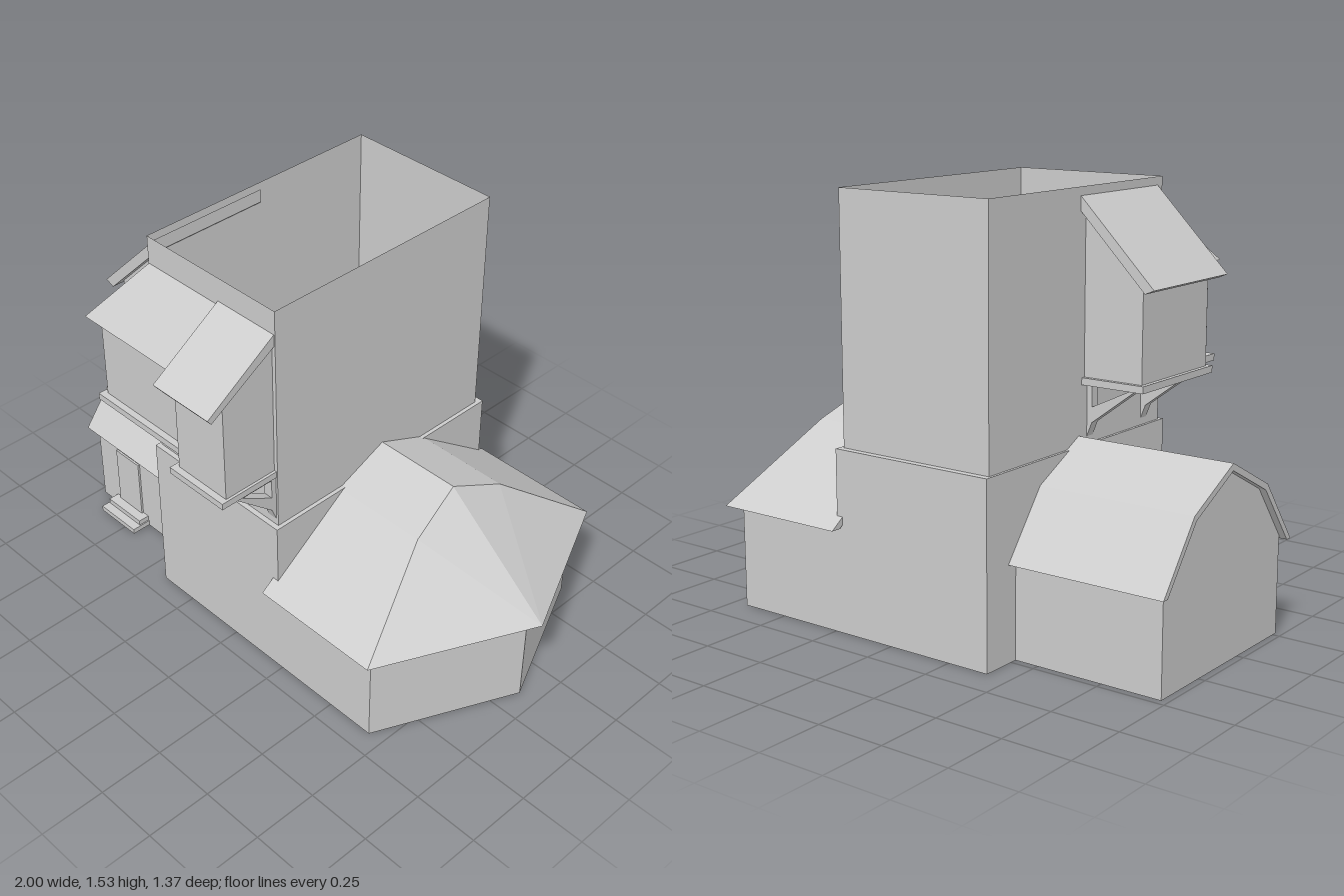
import * as THREE from 'three';

const plaster = new THREE.MeshStandardMaterial({ color: 0xcccccc, flatShading: true, side: THREE.DoubleSide });
plaster.name = 'light grey';

export function createModel() {
  const model = new THREE.Group();
  const add = (name, geometry, parent = model) => {
    const mesh = new THREE.Mesh(geometry, plaster);
    mesh.name = name;
    parent.add(mesh);
    return mesh;
  };
  const shapeOf = pts => new THREE.Shape(pts.map(p => new THREE.Vector2(p[0], p[1])));
  const extrude = (shape, depth) => new THREE.ExtrudeGeometry(shape, { depth, bevelEnabled: false });
  // Profile in [z, y], running along x
  const alongX = (pts, x0, x1) => extrude(shapeOf(pts), x1 - x0).rotateY(-Math.PI / 2).translate(x1, 0, 0);
  // Profile in [x, y], running along z
  const alongZ = (pts, z0, z1) => extrude(shapeOf(pts), z1 - z0).translate(0, 0, z0);
  // Plan in [x, z], rising along y
  const alongY = (pts, y0, y1) => extrude(shapeOf(pts.map(([x, z]) => [x, -z])), y1 - y0).rotateX(-Math.PI / 2).translate(0, y0, 0);
  const box = (x0, x1, y0, y1, z0, z1) =>
    new THREE.BoxGeometry(x1 - x0, y1 - y0, z1 - z0).translate((x0 + x1) / 2, (y0 + y1) / 2, (z0 + z1) / 2);

  // Skin between successive cross-sections of [x, y, z] points
  const loft = (sections, closed = false) => {
    const pos = [];
    for (let s = 0; s + 1 < sections.length; s++) {
      const a = sections[s], b = sections[s + 1], n = a.length;
      for (let i = 0; i < (closed ? n : n - 1); i++) {
        const j = (i + 1) % n;
        pos.push(...a[i], ...a[j], ...b[j], ...a[i], ...b[j], ...b[i]);
      }
    }
    const g = new THREE.BufferGeometry();
    g.setAttribute('position', new THREE.Float32BufferAttribute(pos, 3));
    g.computeVertexNormals();
    return g;
  };
  // Open-ended vertical walls around a plan of [x, z] points
  const walls = (plan, y0, y1, closed = true) =>
    loft([plan.map(([x, z]) => [x, y0, z]), plan.map(([x, z]) => [x, y1, z])], closed);
  const rect = (x0, x1, z0, z1) => [[x0, z1], [x1, z1], [x1, z0], [x0, z0]];

  // Tower: wide base, narrow upper shaft, thin ledge between
  const lower = rect(-0.41, 0.235, -0.63, 0.42), upper = rect(-0.4, 0.22, -0.605, 0.4);
  add('towerBase', walls(lower, 0, 0.655));
  add('towerShaft', walls(upper, 0.655, 1.535));
  add('towerLedge', loft([lower.map(([x, z]) => [x, 0.655, z]), upper.map(([x, z]) => [x, 0.655, z])], true));

  // Side wing with a broken-pitch roof, ridge along x
  const wing = new THREE.Group();
  wing.name = 'wing';
  model.add(wing);
  const mid = -0.105;
  const half = [[0.41, 0.34], [0.235, 0.57], [0, 0.69]];
  const under = [[0, 0.665], [0.222, 0.552], [0.385, 0.34]];
  const mirrored = pts => pts.slice().reverse().filter(p => p[0] > 0).map(([z, y]) => [-z, y]);
  const shift = pts => pts.map(([z, y]) => [z + mid, y]);
  const roofTop = [...half, ...mirrored(half)];
  const roofUnder = [...mirrored(under), ...under];
  add('wingRoof', alongX(shift([...roofTop, ...roofUnder]), -1, -0.385), wing);
  add('wingWalls', walls([[-0.41, 0.27], [-0.975, 0.27], [-0.975, -0.475], [-0.41, -0.475]], 0, 0.36, false), wing);
  add('wingGable', new THREE.ShapeGeometry(shapeOf(shift(
    [[0.37, 0.34], [0.37, 0.36], [0.222, 0.555], [0, 0.67], [-0.222, 0.555], [-0.37, 0.36], [-0.37, 0.34]])))
    .rotateY(-Math.PI / 2).translate(-0.975, 0, 0), wing);
  add('door', box(-0.86, -0.725, 0.04, 0.29, 0.27, 0.278), wing);
  add('lowerStep', box(-0.89, -0.69, 0.003, 0.024, 0.27, 0.35), wing);
  add('upperStep', box(-0.885, -0.695, 0.024, 0.045, 0.27, 0.315), wing);

  // Pointed annex with a broken-pitch hipped roof
  const annex = new THREE.Group();
  annex.name = 'annex';
  model.add(annex);
  add('annexWalls', walls([[0.235, 0.42], [0.69, 0.42], [0.93, mid], [0.69, -0.63], [0.235, -0.63]], 0, 0.39, false), annex);
  // Rows of [half width, height, x of the hip end]
  const outer = [[0.578, 0.38, 0.725], [0.21, 0.65, 0.595], [0, 0.74, 0.56], [-0.21, 0.65, 0.595], [-0.578, 0.38, 0.725]];
  const inner = [[-0.54, 0.38, 0.705], [-0.2, 0.625, 0.58], [0, 0.712, 0.55], [0.2, 0.625, 0.58], [0.54, 0.38, 0.705]];
  const rows = [...outer, ...inner];
  add('annexRoof', loft([
    rows.map(([z, y]) => [0.21, y, z + mid]),
    rows.map(([z, y, x]) => [x, y, z + mid]),
    rows.map((p, i) => [i < 5 ? 0.995 : 0.955, 0.38, mid]),
  ], true), annex);
  add('annexRoofEdge', loft([
    outer.map(([z, y]) => [0.21, y, z + mid]),
    inner.slice().reverse().map(([z, y]) => [0.21, y, z + mid]),
  ]), annex);

  // Overhanging bays wrapped round one corner of the tower
  const bays = new THREE.Group();
  bays.name = 'cornerBays';
  model.add(bays);
  add('bayFloor', alongY([[-0.645, -0.09], [-0.39, -0.09], [-0.04, 0.34], [0.215, 0.34], [0.215, 0.64],
    [-0.05, 0.64], [-0.05, 0.555], [-0.54, 0.555], [-0.54, 0.36], [-0.645, 0.36]], 0.865, 0.89), bays);
  add('sideBay', alongZ([[-0.63, 0.89], [-0.4, 0.89], [-0.4, 1.46], [-0.63, 1.23]], -0.075, 0.34), bays);
  add('sideBayRoof', alongZ([[-0.69, 1.215], [-0.655, 1.2], [-0.395, 1.46], [-0.395, 1.51]], -0.105, 0.37), bays);
  add('frontBay', alongY([[-0.52, 0.34], [-0.52, 0.53], [-0.03, 0.53], [-0.03, 0.4], [-0.4, 0.4], [-0.4, 0.34]], 0.89, 1.25), bays);
  add('frontBayRoof', loft([
    [[-0.54, 1.23, 0.35], [-0.54, 1.23, 0.58], [-0.05, 1.23, 0.58]],
    [[-0.39, 1.44, 0.35], [-0.39, 1.44, 0.39], [-0.05, 1.44, 0.39]],
  ]), bays);
  add('orielBay', alongX([[0.4, 0.89], [0.615, 0.89], [0.615, 1.27], [0.4, 1.41]], -0.03, 0.205), bays);
  add('orielRoof', alongX([[0.4, 1.445], [0.4, 1.4], [0.67, 1.235], [0.685, 1.255]], -0.05, 0.215), bays);

  // Pierced timber brackets below the bays
  const bracket = reach => {
    const s = shapeOf([[0, 0.68], [0.02, 0.73], [reach, 0.865], [0, 0.865]]);
    s.holes.push(new THREE.Path([[0.02, 0.86], [reach - 0.025, 0.86], [0.02, 0.785]].map(p => new THREE.Vector2(...p))));
    return extrude(s, 0.037);
  };
  for (const [x, reach] of [[-0.34, 0.13], [-0.097, 0.13], [0, 0.175], [0.212, 0.175]])
    add('frontBracket', bracket(reach).rotateY(-Math.PI / 2).translate(x, 0, 0.4), bays);
  for (const z of [-0.02, 0.32])
    add('sideBracket', bracket(0.2).rotateY(Math.PI).translate(-0.4, 0, z), bays);

  return model;
}
